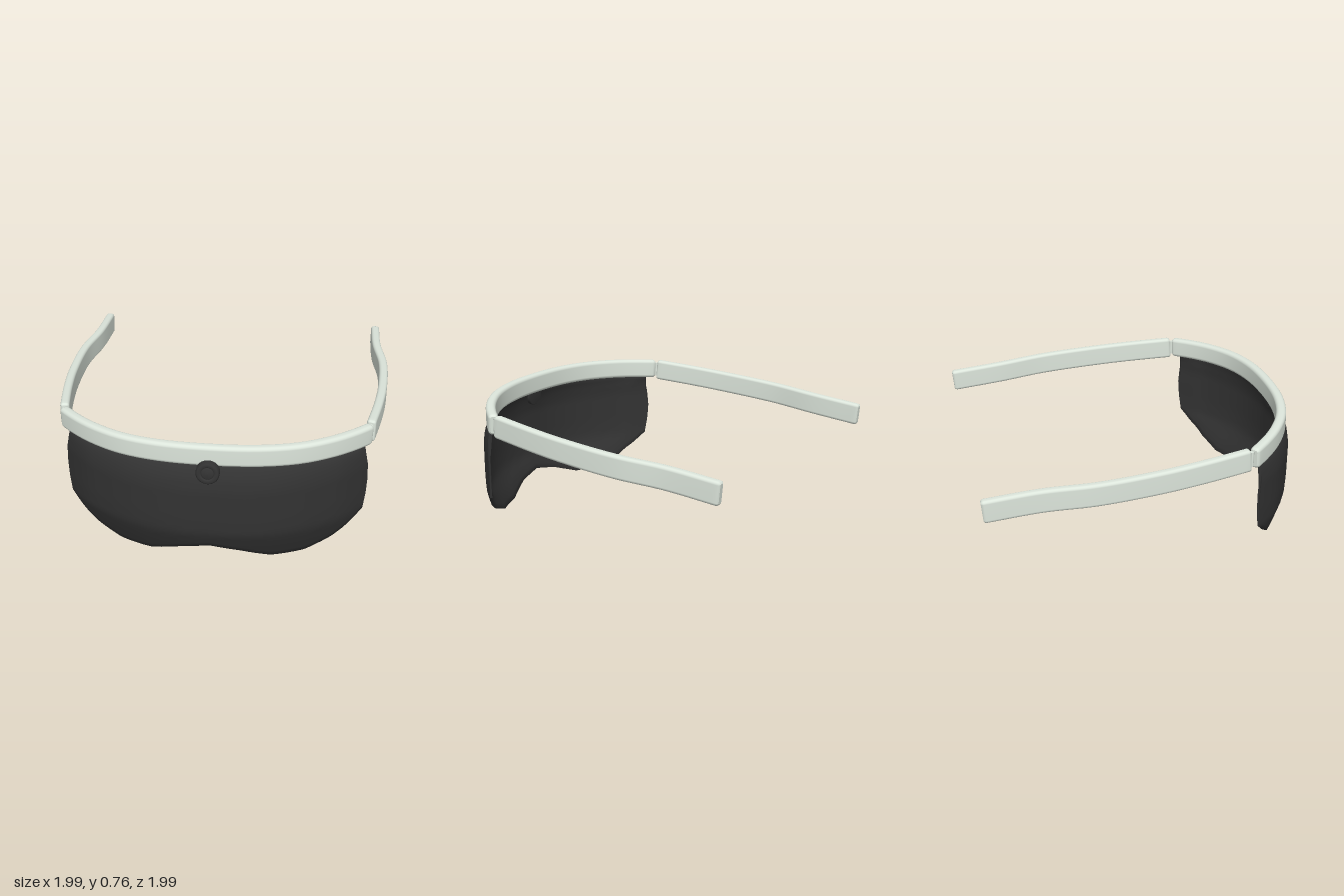
import * as THREE from 'three';

const frameMat = new THREE.MeshStandardMaterial({ color: 0xdde6dc });
const darkMat = new THREE.MeshStandardMaterial({ color: 0x333333 });
const V = (x, y, z) => new THREE.Vector3(x, y, z);

// Linear look-up through [input, output] pairs
function lerpTable(table, t) {
  for (let i = 1; i < table.length; i++) {
    const [a, va] = table[i - 1], [b, vb] = table[i];
    if (t <= b) return va + (vb - va) * Math.max(0, (t - a) / (b - a));
  }
  return table[table.length - 1][1];
}

// Smooth closed skin over equal-sized loops of points, with flat end caps
function loft(loops) {
  const pos = [], idx = [], n = loops[0].length;
  loops.forEach(l => l.forEach(p => pos.push(p.x, p.y, p.z)));
  for (let i = 0; i < loops.length - 1; i++) {
    for (let j = 0; j < n; j++) {
      const a = i * n + j, b = i * n + (j + 1) % n;
      idx.push(a, b, a + n, b, b + n, a + n);
    }
  }
  [loops[0], loops[loops.length - 1]].forEach((loop, end) => {
    const base = pos.length / 3;
    const mid = loop.reduce((m, p) => m.add(p), V(0, 0, 0)).divideScalar(n);
    [...loop, mid].forEach(p => pos.push(p.x, p.y, p.z));
    for (let j = 0; j < n; j++) {
      const a = base + j, b = base + (j + 1) % n;
      if (end) idx.push(a, b, base + n); else idx.push(b, a, base + n);
    }
  });
  const g = new THREE.BufferGeometry();
  g.setAttribute('position', new THREE.Float32BufferAttribute(pos, 3));
  g.setIndex(idx);
  g.computeVertexNormals();
  return g;
}

// Rounded rectangle, counter-clockwise
function section(w, h, r) {
  const pts = [];
  [[1, 1], [-1, 1], [-1, -1], [1, -1]].forEach(([sx, sy], q) => {
    for (let k = 0; k <= 4; k++) {
      const a = (q + k / 4) * Math.PI / 2;
      pts.push([sx * (w / 2 - r) + r * Math.cos(a), sy * (h / 2 - r) + r * Math.sin(a)]);
    }
  });
  return pts;
}

// Rounded bar swept along a path, with softened ends
function bar(points, w, h, r, steps) {
  const curve = new THREE.CatmullRomCurve3(points, false, 'centripetal');
  const ts = [0, 0.004, 0.01];
  for (let i = 1; i < steps; i++) ts.push(i / steps);
  ts.push(0.99, 0.996, 1);
  return loft(ts.map(t => {
    const edge = Math.min(t, 1 - t);
    const inset = edge === 0 ? 0.012 : edge < 0.005 ? 0.003 : 0;
    const p = curve.getPointAt(t), dir = curve.getTangentAt(t);
    const side = V(0, 1, 0).cross(dir).normalize();
    const up = dir.clone().cross(side);
    return section(w - 2 * inset, h - 2 * inset, r - inset).map(([a, b]) =>
      p.clone().addScaledVector(side, a).addScaledVector(up, b));
  }));
}

// Visor outline and curvature
const bottomEdge = [[0, 0.1], [0.17, 0.065], [0.35, 0], [0.54, 0], [0.68, 0.055], [0.79, 0.13], [0.862, 0.2]];
const halfWidth = [[0.2, 0.862], [0.3, 0.875], [0.4, 0.88], [0.5, 0.875], [0.62, 0.852], [0.66, 0.845]];
const tuck = [[0, -0.09], [0.1, -0.045], [0.2, -0.006], [0.3, 0], [0.5, 0], [0.58, -0.015], [0.645, -0.05]];
const bow = new THREE.SplineCurve([[-0.18, 0.985], [0, 0.99], [0.18, 0.985], [0.36, 0.95], [0.53, 0.883],
  [0.7, 0.78], [0.8, 0.69], [0.88, 0.598]].map(p => new THREE.Vector2(...p)));
const bowTable = bow.getPoints(70).map(p => [p.x, p.y]);

function visorGeometry() {
  const cols = 60, rows = 18, loops = [];
  for (let i = 0; i <= cols; i++) {
    const s = -1 + 2 * i / cols, sign = Math.sign(s);
    const y0 = lerpTable(bottomEdge, Math.abs(s) * 0.862), y1 = 0.645 - 0.03 * s * s;
    const inner = [], outer = [];
    for (let j = 0; j <= rows; j++) {
      const v = j / rows, y = y0 + (y1 - y0) * v;
      const ax = Math.abs(s) * lerpTable(halfWidth, y);
      const z = lerpTable(bowTable, ax);
      const slope = (lerpTable(bowTable, ax + 0.02) - lerpTable(bowTable, ax - 0.02)) / 0.04;
      const len = Math.hypot(slope, 1);
      const rim = Math.min(1, v * 8, (1 - v) * 8, (1 - Math.abs(s)) * 12);
      const thick = 0.014 + 0.014 * rim, zt = z + lerpTable(tuck, y);
      outer.push(V(sign * ax, y, zt));
      inner.push(V(sign * (ax + slope / len * thick), y, zt - thick / len));
    }
    loops.push([...inner, ...outer.reverse()]);
  }
  return loft(loops);
}

export function createModel() {
  const group = new THREE.Group();
  const add = (name, geo, mat) => {
    const mesh = new THREE.Mesh(geo, mat);
    mesh.name = name;
    group.add(mesh);
    return mesh;
  };

  // Brow band curving across the front
  const half = [[0.28, 0.696, 0.9], [0.5, 0.69, 0.838], [0.68, 0.682, 0.735], [0.8, 0.674, 0.635], [0.886, 0.667, 0.546]];
  const band = [...half.map(([x, y, z]) => V(-x, y, z)).reverse(), V(0, 0.698, 0.92), ...half.map(p => V(...p))];
  add('browBand', bar(band, 0.06, 0.125, 0.022, 36), frameMat);

  // Temple arms and the hinge pins joining them to the band
  const arm = [[0.888, 0.664, 0.522], [0.933, 0.641, 0.25], [0.96, 0.62, 0], [0.968, 0.592, -0.36],
    [0.932, 0.569, -0.66], [0.925, 0.538, -0.985]];
  for (const [side, m] of [['left', 1], ['right', -1]]) {
    add(side + 'Temple', bar(arm.map(([x, y, z]) => V(m * x, y, z)), 0.054, 0.135, 0.018, 36), frameMat);
    add(side + 'HingePin', new THREE.CylinderGeometry(0.013, 0.013, 0.09, 16), frameMat)
      .position.set(m * 0.886, 0.665, 0.531);
  }

  // Single wrap-around visor
  add('visor', visorGeometry(), darkMat).position.x = 0.008;

  // Round button with a raised centre
  const profile = [[0, -0.04], [0.06, -0.04], [0.066, -0.034], [0.066, 0.024], [0.058, 0.033], [0.041, 0.033],
    [0.038, 0.027], [0.034, 0.027], [0.03, 0.034], [0, 0.036]].map(p => new THREE.Vector2(...p));
  const button = add('centreButton', new THREE.LatheGeometry(profile, 40), darkMat);
  button.rotation.x = Math.PI / 2 - 0.1;
  button.position.set(0.008, 0.615, 0.962);

  return group;
}
